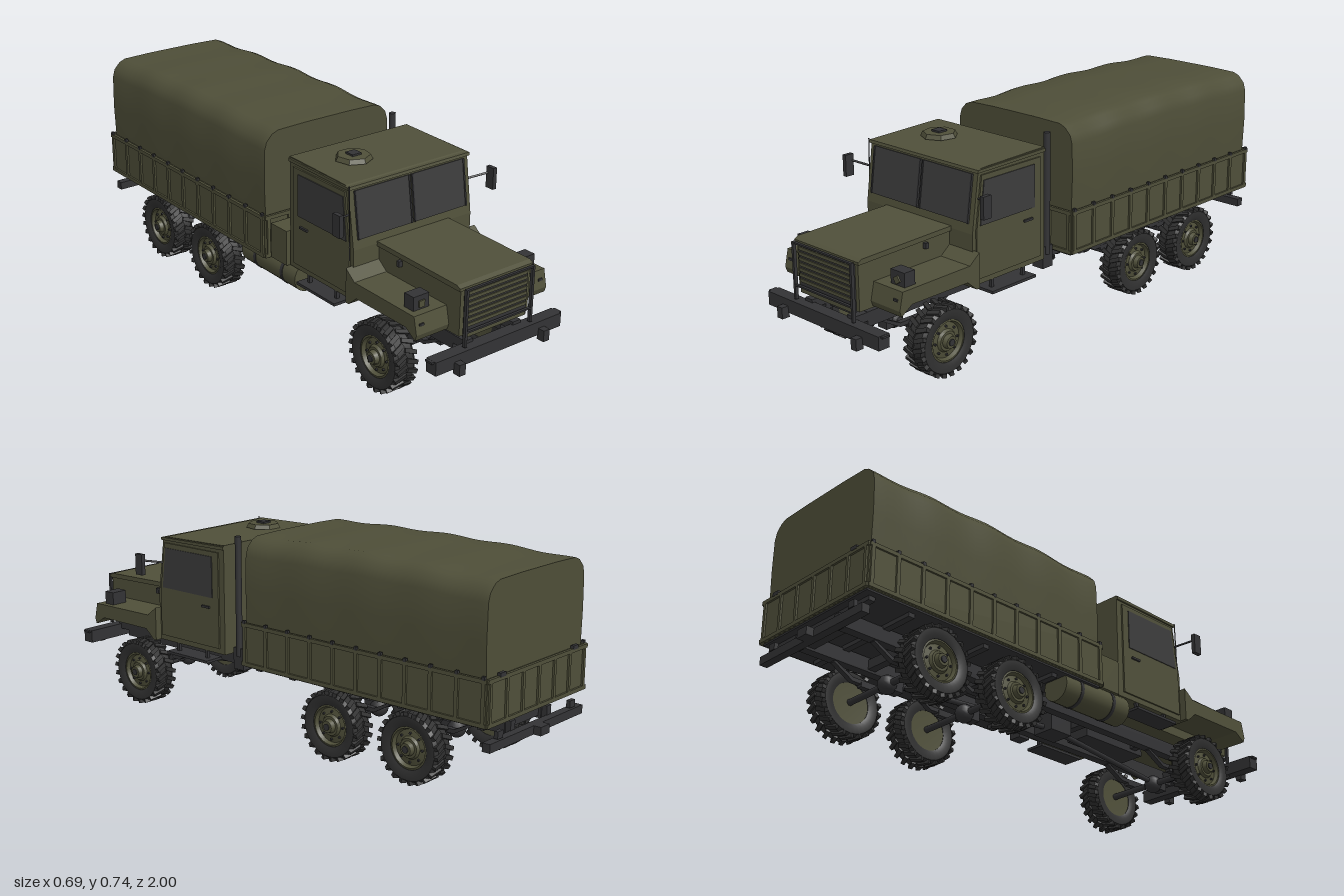
import * as THREE from 'three';
import { toCreasedNormals } from 'three/addons/utils/BufferGeometryUtils.js';

const paint = (name, color) => {
  const m = new THREE.MeshStandardMaterial({ color });
  m.name = name;
  return m;
};

export function createModel() {
  const truck = new THREE.Group();
  truck.name = 'cargoTruck';
  const olive = paint('olive', 0x50503a);
  const canvas = paint('canvas', 0x4e4e38);
  canvas.side = THREE.DoubleSide;
  const metal = paint('darkMetal', 0x333335);
  const rubber = paint('rubber', 0x303030);
  const glass = paint('darkGlass', 0x3c3c3c);

  const add = (name, geo, mat, x = 0, y = 0, z = 0, parent = truck) => {
    const m = new THREE.Mesh(geo, mat);
    m.name = name;
    m.position.set(x, y, z);
    parent.add(m);
    return m;
  };
  const box = (name, mat, w, h, d, x, y, z, parent) =>
    add(name, new THREE.BoxGeometry(w, h, d), mat, x, y, z, parent);
  // Side outline of [z, y] points, extruded across x
  const slab = (name, mat, pts, w, x = 0) => {
    const shape = new THREE.Shape(pts.map(p => new THREE.Vector2(...p)));
    const geo = new THREE.ExtrudeGeometry(shape, { depth: w, bevelEnabled: false });
    return add(name, geo.translate(0, 0, -w / 2).rotateY(-Math.PI / 2), mat, x);
  };
  // Round bar between two points
  const rod = (name, mat, a, b, r, sides = 10) => {
    const p = new THREE.Vector3(...a), q = new THREE.Vector3(...b);
    const m = add(name, new THREE.CylinderGeometry(r, r, p.distanceTo(q), sides), mat);
    m.position.copy(p).add(q).multiplyScalar(0.5);
    m.quaternion.setFromUnitVectors(new THREE.Vector3(0, 1, 0), q.sub(p).normalize());
    return m;
  };

  // Wheels: local y is the axle, +y the outer face
  const lathe = (pts, n) =>
    toCreasedNormals(new THREE.LatheGeometry(pts.map(p => new THREE.Vector2(...p)), n), 0.6);
  const tyreGeo = lathe([[0.074, -0.036], [0.09, -0.043], [0.11, -0.042], [0.119, -0.03],
    [0.119, 0.03], [0.11, 0.042], [0.09, 0.043], [0.074, 0.036], [0.074, -0.036]], 32);
  const rimGeo = lathe([[0, -0.03], [0.075, -0.034], [0.077, 0.034], [0.068, 0.036],
    [0.062, 0.022], [0.04, 0.026], [0.034, 0.036], [0, 0.036]], 24);
  const lugGeo = new THREE.BoxGeometry(0.014, 0.046, 0.015);
  function wheel(name, hub = true) {
    const g = new THREE.Group();
    g.name = name;
    add('tyre', tyreGeo, rubber, 0, 0, 0, g);
    add('rim', rimGeo, olive, 0, 0, 0, g);
    for (let i = 0; i < 44; i++) {
      const a = i * Math.PI / 22, s = i % 2 ? 1 : -1;
      const lug = add('treadLug', lugGeo, rubber, Math.cos(a) * 0.118, s * 0.022, -Math.sin(a) * 0.118, g);
      lug.rotation.set(s * 0.4, a, 0, 'YXZ');
    }
    for (let i = 0; i < 8; i++) {
      const a = i * Math.PI / 4;
      add('wheelNut', new THREE.CylinderGeometry(0.004, 0.004, 0.008, 6), metal,
        Math.cos(a) * 0.05, 0.027, Math.sin(a) * 0.05, g);
    }
    if (hub) {
      add('hub', new THREE.CylinderGeometry(0.021, 0.026, 0.018, 16), olive, 0, 0.043, 0, g);
      add('hubCap', new THREE.CylinderGeometry(0.012, 0.012, 0.006, 12), metal, 0, 0.053, 0, g);
    }
    truck.add(g);
    return g;
  }
  for (const z of [0.67, -0.31, -0.65]) {
    for (const s of [-1, 1]) {
      const w = wheel('roadWheel');
      w.position.set(s * 0.23, 0.128, z);
      w.rotation.z = -s * Math.PI / 2;
      box('springPad', metal, 0.022, 0.018, 0.07, s * 0.105, 0.155, z);
      slab('leafSpring', metal, [[z - 0.15, 0.21], [z - 0.07, 0.17], [z + 0.07, 0.17], [z + 0.15, 0.21],
        [z + 0.15, 0.2], [z + 0.07, 0.155], [z - 0.07, 0.155], [z - 0.15, 0.2]].reverse(), 0.02, s * 0.105);
    }
    rod('axle', metal, [-0.22, 0.132, z], [0.22, 0.132, z], 0.012);
    add('differential', new THREE.SphereGeometry(0.034, 12, 8), metal, 0, 0.132, z);
    box('differentialHousing', metal, 0.044, 0.046, 0.06, 0, 0.133, z + 0.02);
  }
  const spare = wheel('spareWheel', false);
  spare.position.set(-0.005, 0.41, 0.145);
  spare.rotation.x = Math.PI / 2;
  box('spareCarrier', metal, 0.16, 0.03, 0.07, 0, 0.27, 0.145);

  // Chassis frame and drivetrain
  for (const s of [-1, 1]) box('frameRail', metal, 0.035, 0.052, 1.81, s * 0.105, 0.23, -0.02);
  for (const z of [0.85, 0.5, 0.2, -0.05, -0.31, -0.48, -0.65, -0.9])
    box('crossMember', metal, 0.2, 0.035, 0.03, 0, 0.23, z);
  box('gearbox', metal, 0.1, 0.08, 0.3, 0, 0.24, 0.4);
  box('transferCase', metal, 0.09, 0.07, 0.1, 0, 0.21, 0.12);
  rod('driveShaft', metal, [0, 0.2, 0.12], [0, 0.14, 0.65], 0.01);
  rod('driveShaft', metal, [0, 0.2, 0.12], [0, 0.14, -0.65], 0.01);

  // Bumpers and hooks
  box('frontBumper', metal, 0.55, 0.048, 0.045, 0, 0.22, 0.952);
  box('bumperStrip', metal, 0.57, 0.007, 0.03, 0, 0.24, 0.95);
  for (const s of [-1, 1]) {
    box('towHook', metal, 0.026, 0.04, 0.03, s * 0.185, 0.2, 0.985);
    box('bumperBracket', metal, 0.035, 0.03, 0.08, s * 0.105, 0.24, 0.9);
    box('rearBumperBracket', metal, 0.025, 0.05, 0.02, s * 0.105, 0.225, -0.935);
    box('rearLamp', metal, 0.03, 0.025, 0.015, s * 0.21, 0.235, -0.962);
  }
  box('rearBumper', metal, 0.54, 0.03, 0.03, 0, 0.203, -0.957);
  box('rearHitch', metal, 0.05, 0.03, 0.05, 0, 0.203, -0.975);

  // Cab
  slab('cab', olive, [[0.2, 0.28], [0.545, 0.28], [0.545, 0.46], [0.515, 0.67], [0.5, 0.677], [0.2, 0.684]], 0.516);
  slab('roofLip', olive, [[0.2, 0.668], [0.523, 0.664], [0.52, 0.674], [0.2, 0.68]], 0.528);
  const screen = new THREE.Group();
  screen.name = 'windshield';
  screen.position.set(0, 0.575, 0.5295);
  screen.rotation.x = -0.142;
  truck.add(screen);
  for (const s of [-1, 1]) {
    box('windshieldPane', glass, 0.232, 0.166, 0.008, s * 0.121, 0, 0, screen);
    for (const x of [0.007, 0.235]) box('paneFrame', metal, 0.006, 0.166, 0.009, s * x, 0, 0.002, screen);
    slab('door', olive, [[0.225, 0.3], [0.53, 0.3], [0.53, 0.47], [0.505, 0.655], [0.225, 0.655]], 0.008, s * 0.26);
    slab('sideWindow', glass, [[0.255, 0.485], [0.515, 0.485], [0.497, 0.637], [0.255, 0.637]], 0.008, s * 0.263);
    box('doorHandle', metal, 0.008, 0.008, 0.04, s * 0.267, 0.448, 0.288);
    box('step', metal, 0.08, 0.01, 0.21, s * 0.245, 0.245, 0.375);
    for (const z of [0.3, 0.45]) box('stepBracket', metal, 0.012, 0.04, 0.012, s * 0.25, 0.265, z);
    rod('mirrorArm', metal, [s * 0.255, 0.577, 0.515], [s * 0.335, 0.593, 0.55], 0.004, 6);
    box('mirror', metal, 0.016, 0.078, 0.035, s * 0.335, 0.577, 0.56);
  }
  rod('antenna', metal, [-0.262, 0.42, 0.53], [-0.262, 0.68, 0.525], 0.002, 6);
  const hatch = add('roofHatch', new THREE.CylinderGeometry(0.058, 0.066, 0.016, 7).toNonIndexed(), olive, -0.1, 0.691, 0.345);
  hatch.geometry.computeVertexNormals();
  box('hatchVent', metal, 0.038, 0.007, 0.038, -0.1, 0.702, 0.345);

  // Hood and grille
  slab('hood', olive, [[0.54, 0.28], [0.94, 0.28], [0.94, 0.44], [0.925, 0.453], [0.54, 0.462]], 0.3);
  slab('hoodTop', olive, [[0.54, 0.45], [0.945, 0.44], [0.945, 0.45], [0.93, 0.458], [0.54, 0.467]], 0.316);
  box('grille', metal, 0.27, 0.165, 0.008, 0, 0.358, 0.943);
  for (let i = 0; i < 7; i++) box('grilleSlat', olive, 0.264, 0.011, 0.008, 0, 0.316 + i * 0.0185, 0.947);
  box('lowerGrillePanel', olive, 0.26, 0.02, 0.008, 0, 0.284, 0.946);
  for (const s of [-1, 1]) box('guardPost', metal, 0.009, 0.2, 0.012, s * 0.143, 0.35, 0.96);
  for (const y of [0.3, 0.447]) box('guardBar', metal, 0.286, 0.006, 0.01, 0, y, 0.96);

  // Fenders and lamps
  for (const s of [-1, 1]) {
    slab('fender', olive, [[0.54, 0.28], [0.555, 0.28], [0.595, 0.315], [0.84, 0.315], [0.885, 0.285],
      [0.892, 0.305], [0.878, 0.367], [0.585, 0.37], [0.54, 0.405]], 0.135, s * 0.2175);
    box('headlampHousing', metal, 0.064, 0.052, 0.045, s * 0.232, 0.39, 0.828);
    const lamp = box('headlamp', olive, 0.023, 0.023, 0.008, s * 0.232, 0.387, 0.852);
    lamp.rotation.z = s > 0 ? 0.6 : 0;
    box('markerLamp', metal, 0.018, 0.008, 0.008, s * 0.26, 0.336, 0.885);
    box('hoodLatch', metal, 0.014, 0.02, 0.014, s * 0.16, 0.43, 0.66);
  }

  // Exhaust, air cleaner and fuel tank
  rod('exhaustStack', metal, [0.23, 0.28, 0.155], [0.23, 0.72, 0.155], 0.012, 12);
  box('exhaustMuffler', metal, 0.05, 0.08, 0.05, 0.21, 0.27, 0.155);
  box('airCleaner', olive, 0.085, 0.13, 0.09, -0.225, 0.34, 0.145);
  rod('fuelTank', olive, [-0.215, 0.238, -0.08], [-0.215, 0.238, 0.24], 0.055, 20);
  for (const z of [0, 0.16]) rod('tankStrap', metal, [-0.215, 0.238, z - 0.007], [-0.215, 0.238, z + 0.007], 0.057, 20);

  // Cargo bed with ribbed sides
  const front = 0.085, back = -0.965, mid = (front + back) / 2, len = front - back;
  box('bedFloor', metal, 0.55, 0.02, len - 0.01, 0, 0.274, mid);
  for (let i = 0; i < 7; i++) box('bedBearer', metal, 0.5, 0.018, 0.025, 0, 0.258, 0.04 - i * 0.16);
  for (const s of [-1, 1]) {
    box('bedSide', olive, 0.012, 0.155, len, s * 0.277, 0.348, mid);
    for (const y of [0.278, 0.422]) box('sideRail', olive, 0.01, 0.014, len, s * 0.285, y, mid);
    for (let i = 0; i <= 10; i++) {
      const z = front - 0.012 - i * (len - 0.024) / 10;
      box('sideRib', olive, 0.01, 0.15, 0.014, s * 0.285, 0.348, z);
      box('tieHook', metal, 0.01, 0.012, 0.012, s * 0.286, 0.432, z);
    }
    const z = s > 0 ? front - 0.006 : back + 0.006;
    box(s > 0 ? 'bedFront' : 'tailgate', olive, 0.555, 0.155, 0.012, 0, 0.348, z);
    for (const y of [0.278, 0.422]) box('endRail', olive, 0.57, 0.014, 0.01, 0, y, z + s * 0.008);
    for (let i = 0; i < 7; i++) box('endRib', olive, 0.012, 0.15, 0.01, -0.27 + i * 0.09, 0.348, z + s * 0.008);
    box('tailgateLatch', metal, 0.03, 0.014, 0.012, s * 0.21, 0.432, back - 0.002);
  }

  // Canvas cover lofted along z, sagging slightly between its hoops
  const half = [[0.272, 0.415], [0.276, 0.55], [0.273, 0.67], [0.264, 0.7], [0.24, 0.725], [0.215, 0.735], [0.1, 0.738]];
  const section = [...half, ...half.slice().reverse().map(([x, y]) => [-x, y])];
  const n = section.length, rows = 40, pos = [], idx = [];
  for (let r = 0; r <= rows; r++) {
    const t = r / rows, z = 0.075 - t * 1.027;
    const sag = Math.sin(t * Math.PI * 4) ** 2;
    for (const [x, y] of section) {
      const k = (y - 0.415) / 0.32;
      const crown = 0.012 * Math.sin(Math.PI * t) * k;
      pos.push(x * (1 - 0.012 * sag * k), y - 0.004 * k + crown - 0.006 * sag * k * Math.abs(x) / 0.27, z);
    }
    if (r < rows) for (let i = 0; i < n - 1; i++) {
      const a = r * n + i, b = a + n;
      idx.push(a, b, a + 1, a + 1, b, b + 1);
    }
  }
  const last = rows * n;
  for (let i = 1; i < n - 1; i++) idx.push(0, i, i + 1, last, last + i + 1, last + i);
  const cover = new THREE.BufferGeometry();
  cover.setAttribute('position', new THREE.Float32BufferAttribute(pos, 3));
  // Wind the loft outward
  for (let i = 0; i < rows * (n - 1) * 6; i += 3) [idx[i + 1], idx[i + 2]] = [idx[i + 2], idx[i + 1]];
  cover.setIndex(idx);
  add('canvasCover', toCreasedNormals(cover, 0.9), canvas);

  return truck;
}
